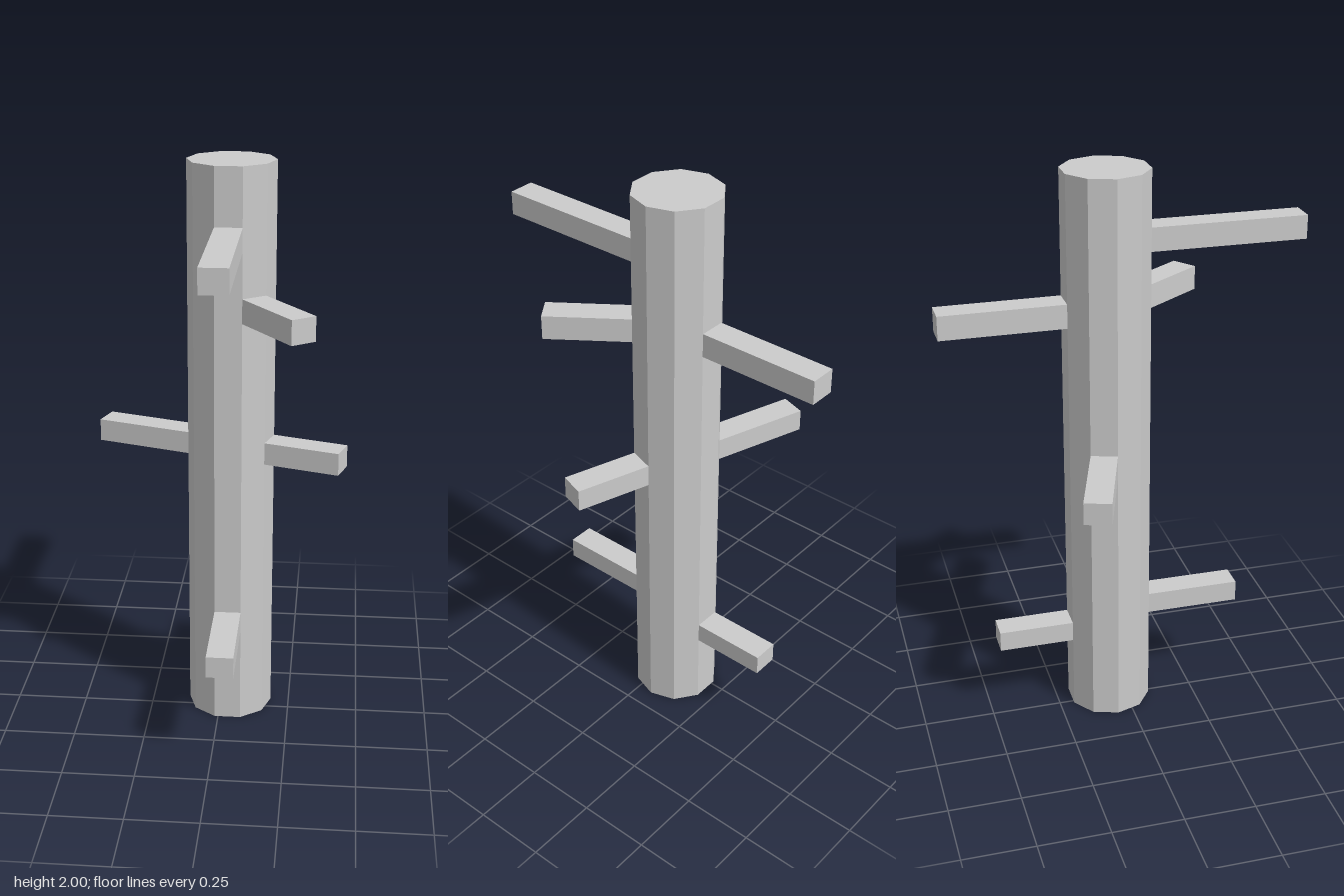
import * as THREE from 'three';

const RADIUS = 0.15;
const SIDES = 10;
const APOTHEM = RADIUS * Math.cos(Math.PI / SIDES);
const FACE_WIDTH = 2 * RADIUS * Math.sin(Math.PI / SIDES);

// [name, face index counted from the front towards +x, bottom, top, reach from the trunk axis]
const PEGS = [
  ['upperFrontPeg', 0, 1.721, 1.803, 0.683],
  ['upperBackPeg', 5, 1.483, 1.567, 0.571],
  ['upperLeftPeg', 1, 1.483, 1.567, 0.434],
  ['middleLeftPeg', 2, 0.969, 1.047, 0.41],
  ['middleRightPeg', 7, 0.969, 1.047, 0.486],
  ['lowerFrontPeg', 0, 0.348, 0.424, 0.476],
  ['lowerBackPeg', 5, 0.275, 0.348, 0.409],
];

export function createModel() {
  const model = new THREE.Group();
  model.name = 'peggedPost';
  const material = new THREE.MeshStandardMaterial({ color: 0xcccccc, flatShading: true });

  // Ten-sided post, slightly off centre, with a flat face to the front
  const post = new THREE.Group();
  post.name = 'post';
  post.position.set(0.034, 0, -0.056);
  model.add(post);

  const trunk = new THREE.Mesh(
    new THREE.CylinderGeometry(RADIUS, RADIUS, 2, SIDES, 1, false, Math.PI / SIDES),
    material
  );
  trunk.name = 'trunk';
  trunk.position.y = 1;
  post.add(trunk);

  // Each peg is as wide as the trunk face it grows from
  for (const [name, face, bottom, top, reach] of PEGS) {
    const length = reach - APOTHEM;
    const geometry = new THREE.BoxGeometry(FACE_WIDTH, top - bottom, length);
    geometry.translate(0, (bottom + top) / 2, APOTHEM + length / 2);
    const peg = new THREE.Mesh(geometry, material);
    peg.name = name;
    peg.rotation.y = (face * 2 * Math.PI) / SIDES;
    post.add(peg);
  }

  return model;
}
